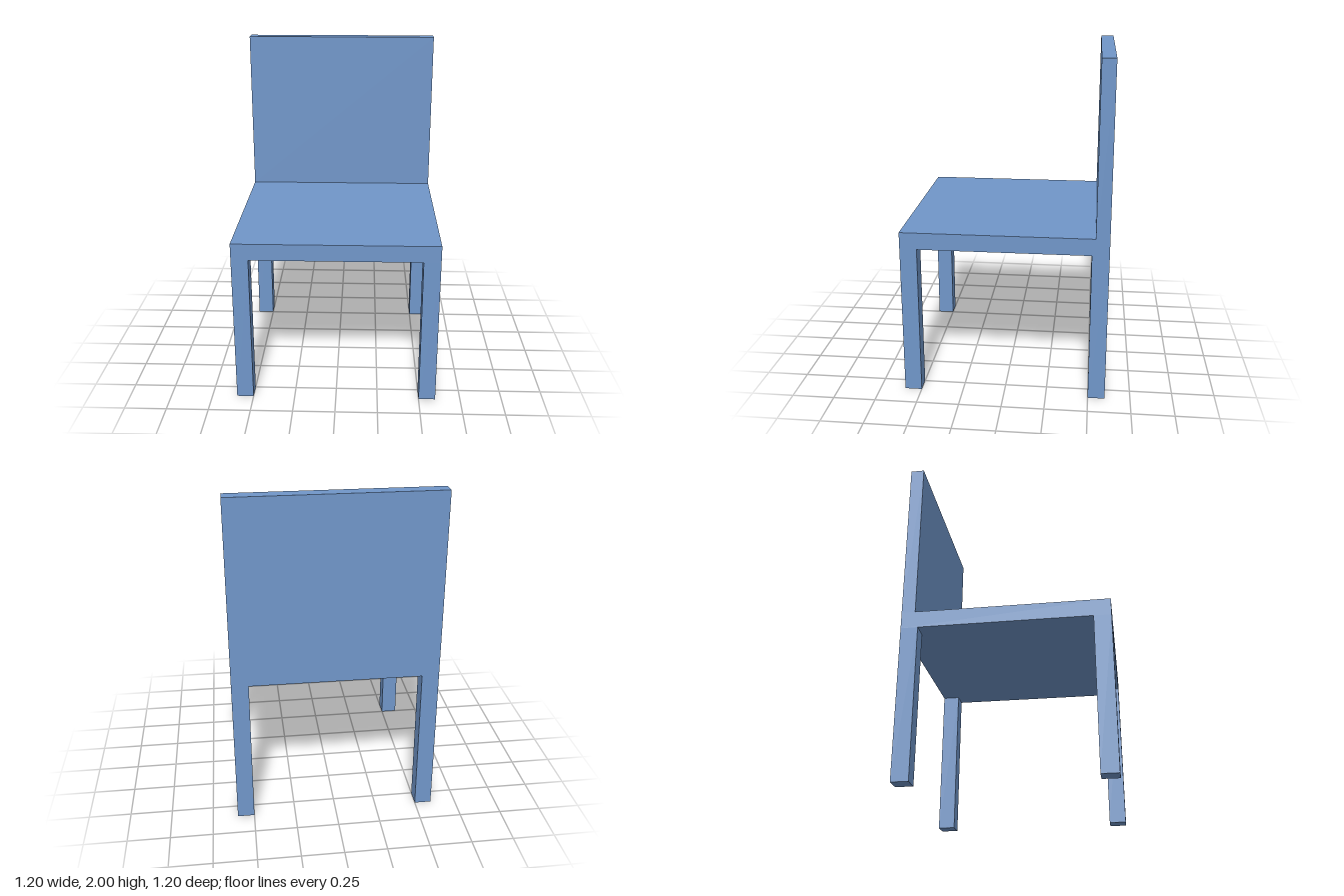
import * as THREE from 'three';

const WIDTH = 1.2, DEPTH = 1.2, SEAT_TOP = 1, SEAT_THICK = 0.1;
const LEG = 0.1, BACK_THICK = 0.08, BACK_HEIGHT = 1;

export function createModel() {
  const chair = new THREE.Group();
  chair.name = 'chair';
  const material = new THREE.MeshStandardMaterial({ color: 0x7096c9 });

  // Adds a box whose underside sits at height y
  function addBox(name, w, h, d, x, y, z) {
    const mesh = new THREE.Mesh(new THREE.BoxGeometry(w, h, d), material);
    mesh.name = name;
    mesh.position.set(x, y + h / 2, z);
    chair.add(mesh);
  }

  // Seat slab
  const legHeight = SEAT_TOP - SEAT_THICK;
  addBox('seat', WIDTH, SEAT_THICK, DEPTH, 0, legHeight, 0);

  // Backrest panel, flush with the rear edge of the seat
  addBox('backrest', WIDTH, BACK_HEIGHT, BACK_THICK, 0, SEAT_TOP, -(DEPTH - BACK_THICK) / 2);

  // Four square legs, flush with the seat corners
  for (const [side, sx] of [['Left', 1], ['Right', -1]]) {
    for (const [end, sz] of [['front', 1], ['back', -1]]) {
      addBox(`${end}${side}Leg`, LEG, legHeight, LEG,
        sx * (WIDTH - LEG) / 2, 0, sz * (DEPTH - LEG) / 2);
    }
  }

  return chair;
}
